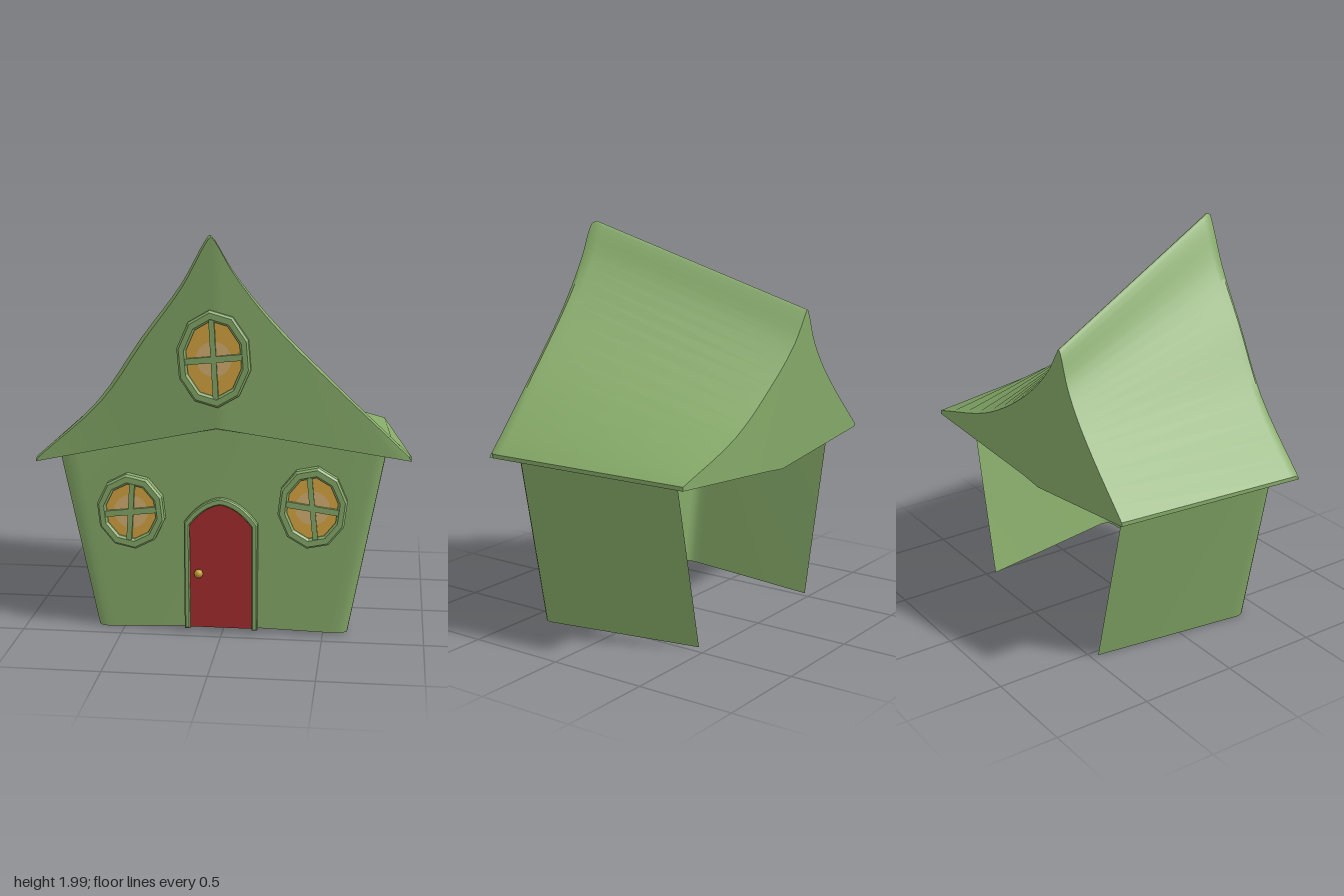
import * as THREE from 'three';
import { toCreasedNormals } from 'three/addons/utils/BufferGeometryUtils.js';

const mat = (name, color, side = THREE.FrontSide) => {
  const m = new THREE.MeshStandardMaterial({ color, side });
  m.name = name;
  return m;
};
const lerp = THREE.MathUtils.lerp;
const V = (x, y, z) => new THREE.Vector3(x, y, z);

function meshOf(name, geometry, material) {
  const m = new THREE.Mesh(geometry, material);
  m.name = name;
  return m;
}

function indexed(points, index, crease) {
  const g = new THREE.BufferGeometry().setFromPoints(points);
  g.setIndex(index);
  return toCreasedNormals(g, crease);
}

// Crooked roof: a concave gable section lofted from front to back
function roofGeometry() {
  const front = [[-.92, .885], [-.6, 1.18], [-.375, 1.5], [-.175, 1.765], [-.055, 1.975], [-.032, 2],
    [-.008, 1.975], [.074, 1.835], [.25, 1.61], [.55, 1.3], [.92, .935]];
  const back = [[-.87, .9], [-.633, 1.135], [-.5, 1.29], [-.42, 1.42], [-.368, 1.555], [-.352, 1.575],
    [-.335, 1.555], [-.24, 1.42], [-.02, 1.23], [.31, 1.04], [.78, .9]];
  const n = 40;
  const frontZ = (x, y) => .465 + .075 * (1 - Math.abs(x) / .92) + .04 * Math.max(0, y - 1);
  const backZ = x => -.545 - (x > 0 ? .04 * x / .78 : -.01 * x / .87);

  // Each section gives its upper curve and its bent lower edge
  const section = (pts, low, zAt) => {
    const top = new THREE.CatmullRomCurve3(pts.map(([x, y]) => V(x, y, 0)), false, 'centripetal').getPoints(n);
    const peak = top[n / 2].x;
    const bottom = top.map((p, i) => {
      const end = top[i < n / 2 ? 0 : n];
      const f = Math.abs((p.x - peak) / (end.x - peak));
      return V(lerp(low[0], end.x, f), lerp(low[1], end.y - .02, f), 0);
    });
    [...top, ...bottom].forEach(p => { p.z = zAt(p.x, p.y); });
    return { top, bottom };
  };
  const f = section(front, [-.01, 1.07], frontZ);
  const b = section(back, [-.14, .79], backZ);

  const points = [], index = [], size = 2 * (n + 1);
  const steps = [0, .02, .05, 1];
  steps.forEach((s, r) => {
    const top = f.top.map((p, i) => {
      const q = p.clone().lerp(b.top[i], s);
      if (r === 0) q.add(V(-.03 - q.x, 1.15 - q.y, 0).setLength(.018)); // softened front edge
      return q;
    });
    const bottom = f.bottom.map((p, i) => p.clone().lerp(b.bottom[i], s));
    points.push(...top, ...bottom.reverse());
  });
  for (let r = 0; r < steps.length - 1; r++) {
    for (let i = 0; i < size; i++) {
      const j = (i + 1) % size, o = r * size, p = o + size;
      index.push(o + i, o + j, p + j, o + i, p + j, p + i);
    }
  }
  const last = (steps.length - 1) * size;
  for (let i = 0; i < n; i++) {
    const t = i, u = i + 1, d = size - 1 - i, e = size - 2 - i;
    index.push(t, d, e, t, e, u);
    index.push(last + t, last + e, last + d, last + t, last + u, last + e);
  }
  return indexed(points, index, .6);
}

// Flared walls: one open band around both sides and the front, without a back
function wallGeometry() {
  const round = [[.1, 0], [.06, 0], [.03, .008], [.008, .03], [0, .06], [0, .1]];
  const cols = [[V(-.535, 0, -.46), V(-.755, .92, -.46)]];
  round.forEach(([a, c]) => cols.push([V(-.645 + c + a * .12, 0, .405 - a), V(-.825 + c + a * .08, .9 + c * .19, .415 - a)]));
  cols.push([V(0, .03, .42), V(0, 1.06, .44)]);
  [...round].reverse().forEach(([a, c]) => cols.push([V(.635 - c - a * .19, .01, .405 - a), V(.81 - c - a * .17, .945 + c * .14, .415 - a)]));
  cols.push([V(.47, .01, -.46), V(.66, .91, -.46)]);
  const index = [];
  for (let i = 0; i < cols.length - 1; i++) {
    const o = 2 * i;
    index.push(o, o + 2, o + 3, o, o + 3, o + 1);
  }
  return indexed(cols.flat(), index, 1);
}

function oval(rx, ry, sides, turn = 0) {
  return Array.from({ length: sides }, (_, i) => {
    const a = (i + .5) / sides * Math.PI * 2 + turn;
    return new THREE.Vector2(rx * Math.cos(a), ry * Math.sin(a));
  });
}

// Faceted oval window with a frame, pane, pale centre and crooked bars
function makeWindow(name, rx, ry, depth, turnH, turnV, mats) {
  const g = new THREE.Group();
  g.name = name;
  const bevel = .01;
  const shape = new THREE.Shape(oval(rx - bevel, ry - bevel, 10, turnH));
  shape.holes.push(new THREE.Path(oval(rx - .035, ry - .04, 10, turnH)));
  const frame = new THREE.ExtrudeGeometry(shape, {
    depth: depth - bevel, bevelEnabled: true, bevelThickness: bevel, bevelSize: bevel, bevelSegments: 1,
  });
  g.add(meshOf('windowFrame', frame, mats.green));
  const pane = meshOf('windowPane', new THREE.ShapeGeometry(new THREE.Shape(oval(rx - .03, ry - .035, 10, turnH))), mats.amber);
  pane.position.z = depth - .018;
  const glow = meshOf('paneCentre', new THREE.CircleGeometry(.085, 24), mats.pale);
  glow.position.z = depth - .015;
  const across = meshOf('crossBar', new THREE.BoxGeometry(2 * rx - .07, .03, .02), mats.green);
  const upright = meshOf('uprightBar', new THREE.BoxGeometry(.026, 2 * ry - .08, .02), mats.green);
  across.position.z = upright.position.z = depth - .012;
  across.rotation.z = turnH;
  upright.rotation.z = turnV;
  g.add(pane, glow, across, upright);
  return g;
}

// Pointed arch outline
function arch(w, h, top) {
  const s = new THREE.Shape();
  s.moveTo(-w, 0);
  s.lineTo(-w, h);
  s.quadraticCurveTo(-w * .55, top * .98, 0, top);
  s.quadraticCurveTo(w * .55, top * .98, w, h);
  s.lineTo(w, 0);
  return s;
}

function makeDoor(mats) {
  const g = new THREE.Group();
  g.name = 'door';
  const ring = [...arch(.176, .545, .67).getPoints(10), ...arch(.16, .535, .648).getPoints(10).reverse()];
  const frame = new THREE.ExtrudeGeometry(new THREE.Shape(ring), {
    depth: .03, bevelEnabled: true, bevelThickness: .006, bevelSize: .006, bevelSegments: 1,
  });
  const frameMesh = meshOf('doorFrame', frame, mats.green);
  frameMesh.position.z = -.012;
  const panel = meshOf('doorPanel', new THREE.ExtrudeGeometry(arch(.16, .535, .65), { depth: .02, bevelEnabled: false }), mats.red);
  panel.position.z = -.01;
  const knob = meshOf('doorKnob', new THREE.SphereGeometry(.022, 16, 12), mats.gold);
  knob.position.set(-.11, .285, .022);
  g.add(frameMesh, panel, knob);
  return g;
}

export function createModel() {
  const mats = {
    green: mat('leafGreen', 0x85a968),
    wall: mat('wallGreen', 0x85a968, THREE.DoubleSide),
    red: mat('doorRed', 0xa62c2e),
    amber: mat('paneAmber', 0xd6a440),
    pale: mat('paneCentrePale', 0xd4b070),
    gold: mat('knobGold', 0xc09a30),
  };
  const house = new THREE.Group();
  house.name = 'house';
  house.add(meshOf('roof', roofGeometry(), mats.green));
  house.add(meshOf('walls', wallGeometry(), mats.wall));

  const door = makeDoor(mats);
  door.position.set(-.005, .025, .424);
  door.rotation.x = -.0 + .02;
  house.add(door);

  // name, centre, radii, depth, bar turns, lean
  [
    ['gableWindow', [-.022, 1.41, .548], .18, .235, .03, .1, .05, [.04, 0]],
    ['rightWindow', [-.45, .62, .42], .172, .192, .045, .12, -.07, [.022, -.025]],
    ['leftWindow', [.445, .665, .42], .172, .207, .045, -.15, .1, [.022, .025]],
  ].forEach(([name, at, rx, ry, depth, h, v, lean]) => {
    const w = makeWindow(name, rx, ry, depth, h, v, mats);
    w.position.set(...at);
    w.rotation.set(lean[0], lean[1], 0);
    house.add(w);
  });
  return house;
}
